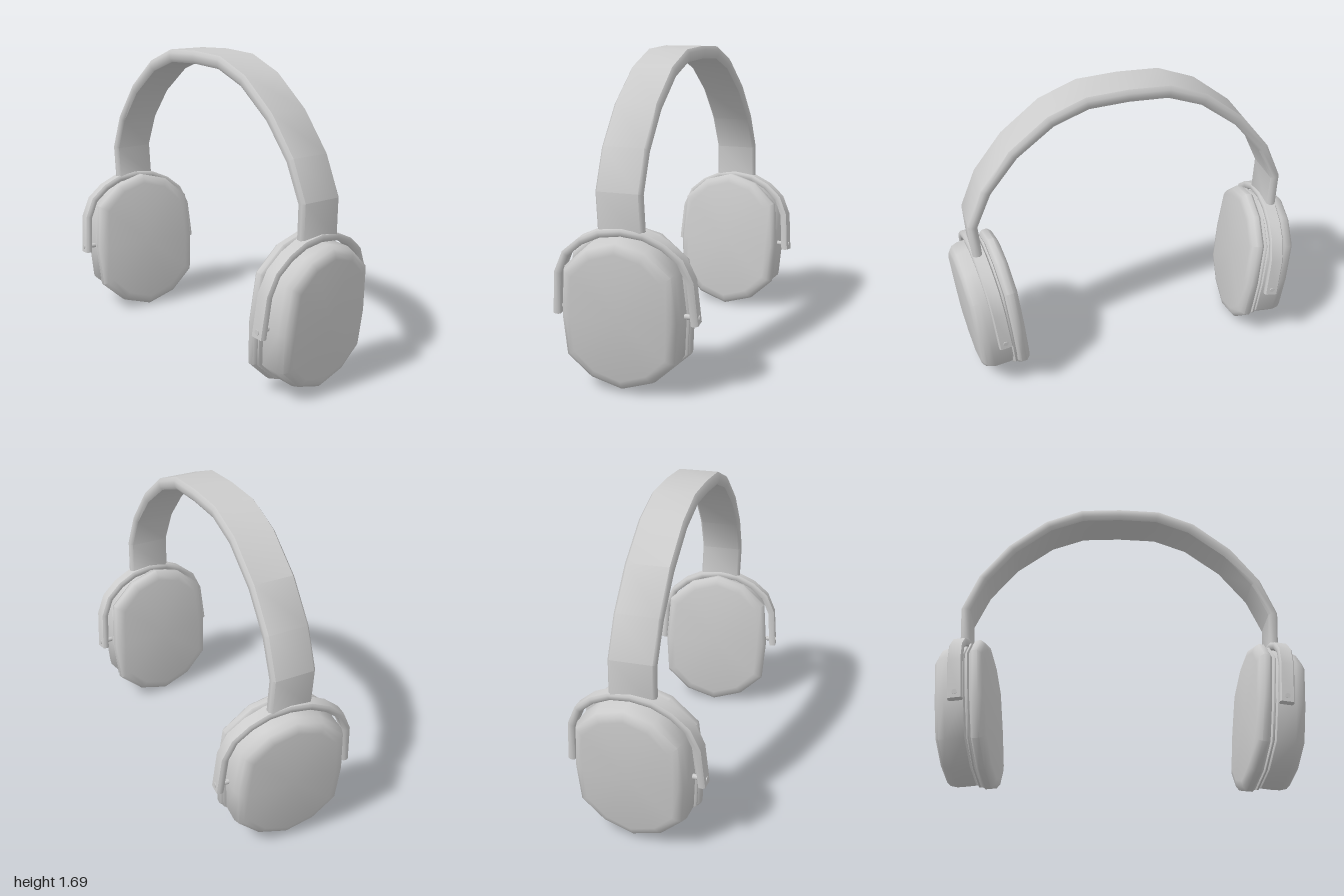
import * as THREE from 'three';
import { toCreasedNormals } from 'three/addons/utils/BufferGeometryUtils.js';

const material = new THREE.MeshStandardMaterial({ color: 0xcccccc });

function mesh(name, geometry) {
  const m = new THREE.Mesh(geometry, material);
  m.name = name;
  return m;
}

// Skins a list of rings (arrays of Vector3) and closes both ends.
function loft(rings, crease) {
  const n = rings[0].length;
  const points = rings.flat();
  const index = [];
  for (let i = 0; i < rings.length - 1; i++) {
    for (let j = 0; j < n; j++) {
      const a = i * n + j, b = i * n + (j + 1) % n;
      index.push(a, b, a + n, b, b + n, a + n);
    }
  }
  for (const end of [0, rings.length - 1]) {
    const centre = new THREE.Vector3();
    rings[end].forEach((p) => centre.addScaledVector(p, 1 / n));
    const c = points.push(centre) - 1;
    for (let j = 0; j < n; j++) {
      const a = end * n + j, b = end * n + (j + 1) % n;
      if (end === 0) index.push(c, b, a);
      else index.push(c, a, b);
    }
  }
  const g = new THREE.BufferGeometry().setFromPoints(points);
  g.setIndex(index);
  return toCreasedNormals(g, crease);
}

// Twelve-sided ear outline as [z, y] factors, anticlockwise about +x.
const half = [[0, 1], [0.51, 0.89], [0.93, 0.6], [1, -0.03], [0.95, -0.58], [0.54, -0.87], [0, -1]];
const outline = [...half, ...half.slice(1, -1).reverse().map(([z, y]) => [-z, y])];

// Profile rows are [x, half width, half height].
function earShell(profile) {
  return loft(profile.map(([x, w, h]) =>
    outline.map(([z, y]) => new THREE.Vector3(x, y * h, z * w))), 0.85);
}

// Sweeps a bevelled strip along an x-y path of [x, y, zShift, halfThickness].
function strip(path, halfWidth, bevel) {
  const w = halfWidth, v = w - bevel;
  const section = [[1, v], [1, -v], [0.45, -w], [-0.45, -w], [-1, -v], [-1, v], [-0.45, w], [0.45, w]];
  const pts = path.map(([x, y]) => new THREE.Vector2(x, y));
  const rings = path.map(([x, y, shift, t], i) => {
    const dIn = pts[i].clone().sub(pts[Math.max(i - 1, 0)]).normalize();
    const dOut = pts[Math.min(i + 1, pts.length - 1)].clone().sub(pts[i]).normalize();
    const d = dIn.add(dOut).normalize();
    return section.map(([k, z]) => new THREE.Vector3(x + d.y * k * t, y - d.x * k * t, z + shift));
  });
  return loft(rings, 0.85);
}

// Completes a right-hand path with its mirror image; the last point is on the axis.
const mirrored = (path) =>
  [...path, ...path.slice(0, -1).reverse().map(([x, ...rest]) => [-x, ...rest])];

function earCup() {
  const cup = new THREE.Group();
  cup.add(mesh('earCushion', earShell([
    [-0.135, 0.275, 0.37], [-0.127, 0.308, 0.403], [-0.105, 0.328, 0.423],
    [-0.075, 0.328, 0.423], [-0.06, 0.312, 0.408]])));
  cup.add(mesh('cupCore', earShell([[-0.07, 0.29, 0.38], [-0.02, 0.29, 0.38]])));
  cup.add(mesh('cushionPlate', earShell([
    [-0.055, 0.31, 0.402], [-0.051, 0.318, 0.41], [-0.042, 0.318, 0.41], [-0.038, 0.31, 0.402]])));
  cup.add(mesh('outerShell', earShell([
    [-0.032, 0.3, 0.388], [-0.026, 0.308, 0.396], [0.075, 0.308, 0.396],
    [0.112, 0.297, 0.384], [0.13, 0.275, 0.362], [0.136, 0.25, 0.335]])));

  // Fork that holds the shell, with a pivot pin at each tip
  const fork = mirrored([[0.365, -0.042], [0.347, 0.18], [0.3, 0.285], [0.215, 0.355],
    [0.115, 0.4], [0, 0.414]].map(([x, y]) => [x, y, 0, 0.019]));
  const yoke = mesh('yoke', strip(fork, 0.039, 0.007).rotateY(Math.PI / 2));
  yoke.position.x = 0.004;
  cup.add(yoke);
  for (const s of [1, -1]) {
    const pin = mesh('pivotPin', new THREE.CylinderGeometry(0.014, 0.014, 0.1, 10).rotateX(Math.PI / 2));
    pin.position.set(0.004, -0.008, s * 0.335);
    cup.add(pin);
  }
  return cup;
}

export function createModel() {
  const model = new THREE.Group();
  model.name = 'headphones';

  // Headband, leaning slightly forward towards the crown
  const arc = [[0.863, 0.82, 0.026], [0.873, 1.025, 0.026], [0.785, 1.225, 0.028],
    [0.628, 1.42, 0.03], [0.42, 1.58, 0.033], [0.222, 1.655, 0.035], [0, 1.665, 0.035]]
    .map(([x, y, t]) => [x, y, (y - 0.84) * 0.026, t]);
  model.add(mesh('headband', strip(mirrored(arc), 0.124, 0.014)));

  // Ear cups, tilted and turned as a mirrored pair
  for (const s of [1, -1]) {
    const side = new THREE.Group();
    side.name = s > 0 ? 'leftEarCup' : 'rightEarCup';
    side.position.set(s * 0.823, 0.424, 0);
    side.rotation.set(0, s * 0.09, -s * 0.09);
    const cup = earCup();
    cup.name = 'cupAssembly';
    if (s < 0) cup.rotation.y = Math.PI;
    side.add(cup);
    model.add(side);
  }
  return model;
}
